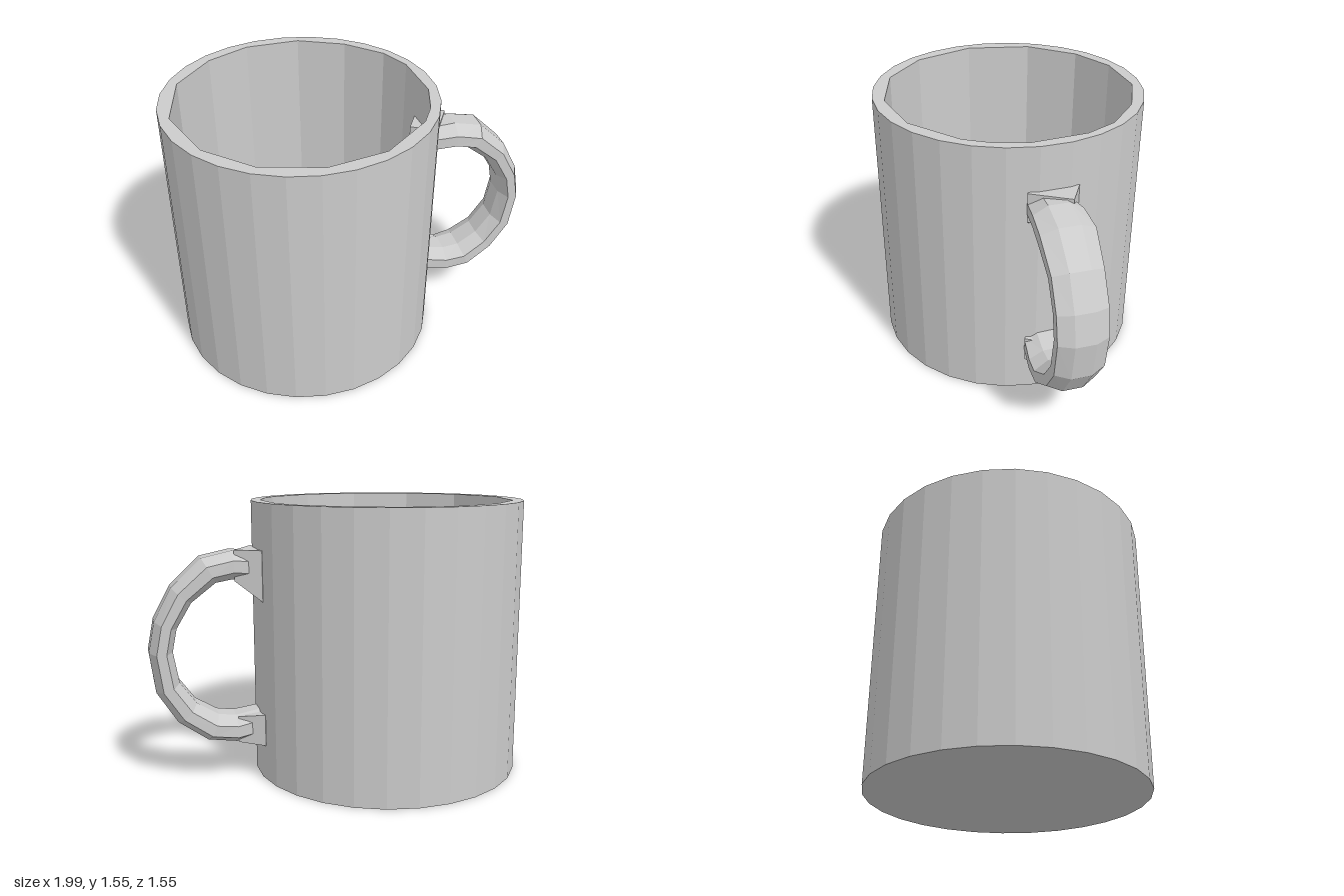
import * as THREE from 'three';
import { ConvexGeometry } from 'three/addons/geometries/ConvexGeometry.js';

const CX = -0.23, RADIUS = 0.772, HEIGHT = 1.555, FLOOR = 0.06, SIDES = 28;

const material = new THREE.MeshStandardMaterial({
  color: 0xcccccc, flatShading: true, side: THREE.DoubleSide,
});

function addMesh(parent, name, geometry) {
  const mesh = new THREE.Mesh(geometry, material);
  mesh.name = name;
  parent.add(mesh);
  return mesh;
}

// Wall: round outside, coarser faceted inside
function wallGeometry() {
  const outer = [];
  for (let i = 0; i < SIDES; i++) {
    const a = (i / SIDES) * Math.PI * 2;
    outer.push(new THREE.Vector2(CX + RADIUS * Math.cos(a), RADIUS * Math.sin(a)));
  }
  const inner = [
    [-0.17, -0.71], [-0.46, -0.68], [-0.73, -0.51], [-0.88, -0.28], [-0.94, 0.04],
    [-0.82, 0.4], [-0.54, 0.64], [-0.22, 0.71], [0.11, 0.62], [0.36, 0.4],
    [0.48, 0.07], [0.48, -0.08], [0.43, -0.28], [0.25, -0.54], [0.09, -0.65],
  ].map(([x, z]) => new THREE.Vector2(x, -z));
  const shape = new THREE.Shape(outer);
  shape.holes.push(new THREE.Path(inner));
  const g = new THREE.ExtrudeGeometry(shape, { depth: HEIGHT - FLOOR, bevelEnabled: false });
  return g.rotateX(-Math.PI / 2).translate(0, FLOOR, 0);
}

// Handle: flattened eight-sided sections swept along a C, in a radial plane
function handleGeometry() {
  // distance from the cup's axis, height, half thickness, half width
  const stations = [
    [0.74, 1.2, 0.08, 0.12], [0.9, 1.215, 0.08, 0.14], [1.03, 1.19, 0.08, 0.15],
    [1.18, 1.06, 0.07, 0.14], [1.27, 0.9, 0.065, 0.14], [1.3, 0.75, 0.065, 0.14],
    [1.27, 0.55, 0.07, 0.14], [1.17, 0.4, 0.075, 0.14], [1.03, 0.305, 0.08, 0.15],
    [0.9, 0.285, 0.08, 0.14], [0.74, 0.31, 0.08, 0.12],
  ];
  const n = 8, positions = [], index = [];
  stations.forEach(([r, y, thick, wide], i) => {
    const p = stations[Math.max(i - 1, 0)];
    const q = stations[Math.min(i + 1, stations.length - 1)];
    const t = new THREE.Vector2(q[0] - p[0], q[1] - p[1]).normalize();
    for (let j = 0; j < n; j++) {
      const a = ((j + 0.5) / n) * Math.PI * 2;
      const c = Math.cos(a) * thick * 1.06, s = Math.sin(a) * wide * 1.06;
      positions.push(r - t.y * c, y + t.x * c, s);
      if (i < stations.length - 1) {
        const A = i * n + j, B = i * n + ((j + 1) % n);
        index.push(A, B, A + n, B, B + n, A + n);
      }
    }
  });
  const g = new THREE.BufferGeometry();
  g.setAttribute('position', new THREE.Float32BufferAttribute(positions, 3));
  g.setIndex(index);
  g.computeVertexNormals();
  return g;
}

// Wedge joining the handle to the wall; low and high at the wall, narrower outside
function wedgeGeometry(wallLow, wallHigh, outLow, outHigh) {
  const points = [];
  for (const z of [-0.28, -0.52]) {
    for (const y of [wallLow, wallHigh]) points.push(new THREE.Vector3(0.34, y, z));
    for (const y of [outLow, outHigh]) points.push(new THREE.Vector3(0.5, y, z));
  }
  return new ConvexGeometry(points);
}

export function createModel() {
  const mug = new THREE.Group();
  mug.name = 'mug';

  addMesh(mug, 'wall', wallGeometry());
  addMesh(mug, 'base', new THREE.CylinderGeometry(RADIUS, RADIUS, FLOOR, SIDES)
    .rotateY(Math.PI / 2).translate(CX, FLOOR / 2, 0));

  const handle = addMesh(mug, 'handle', handleGeometry());
  handle.position.x = CX;
  handle.rotation.y = Math.PI / 6;

  addMesh(mug, 'upperHandleJoint', wedgeGeometry(1.02, 1.3, 1.13, 1.3));
  addMesh(mug, 'lowerHandleJoint', wedgeGeometry(0.2, 0.38, 0.21, 0.36));
  return mug;
}
